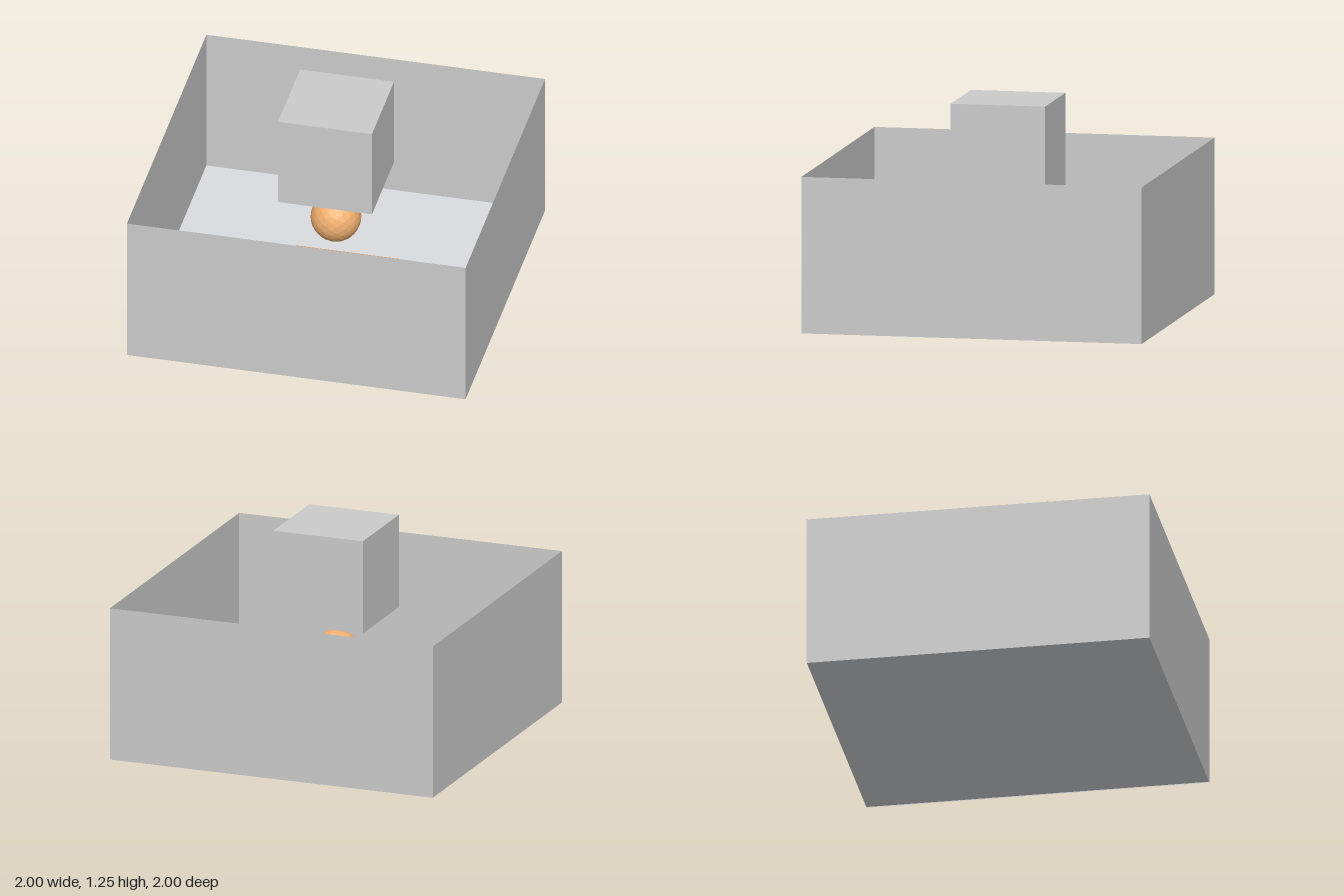
import * as THREE from 'three';

const material = (color, extra = {}) => new THREE.MeshStandardMaterial({ color, ...extra });

export function createModel() {
  const model = new THREE.Group();
  const add = (name, geometry, mat, y) => {
    const mesh = new THREE.Mesh(geometry, mat);
    mesh.name = name;
    mesh.position.y = y;
    model.add(mesh);
    return mesh;
  };
  const size = 2, wallHeight = 0.91;

  // Open tray: thin floor and four paper-thin walls
  const flat = (s) => new THREE.PlaneGeometry(s, s).rotateX(-Math.PI / 2);
  add('floor', flat(size), material(0xdadce0, { side: THREE.DoubleSide }), 0.005);

  const wallMaterial = material(0xcccccc, { side: THREE.DoubleSide });
  ['frontWall', 'leftWall', 'backWall', 'rightWall'].forEach((name, i) => {
    const geometry = new THREE.PlaneGeometry(size, wallHeight)
      .translate(0, 0, size / 2)
      .rotateY(i * Math.PI / 2);
    add(name, geometry, wallMaterial, wallHeight / 2);
  });

  // Square patch lying on the floor
  add('floorPatch', flat(0.61), material(0xf08c3c, { side: THREE.DoubleSide }), 0.012);

  // Faceted ball floating under the cube
  add('ball', new THREE.IcosahedronGeometry(0.147, 3), material(0xf2b070, { flatShading: true }), 0.46);

  // Cube hovering above the ball
  add('cube', new THREE.BoxGeometry(0.555, 0.555, 0.555), material(0xcccccc), 0.975);

  return model;
}
